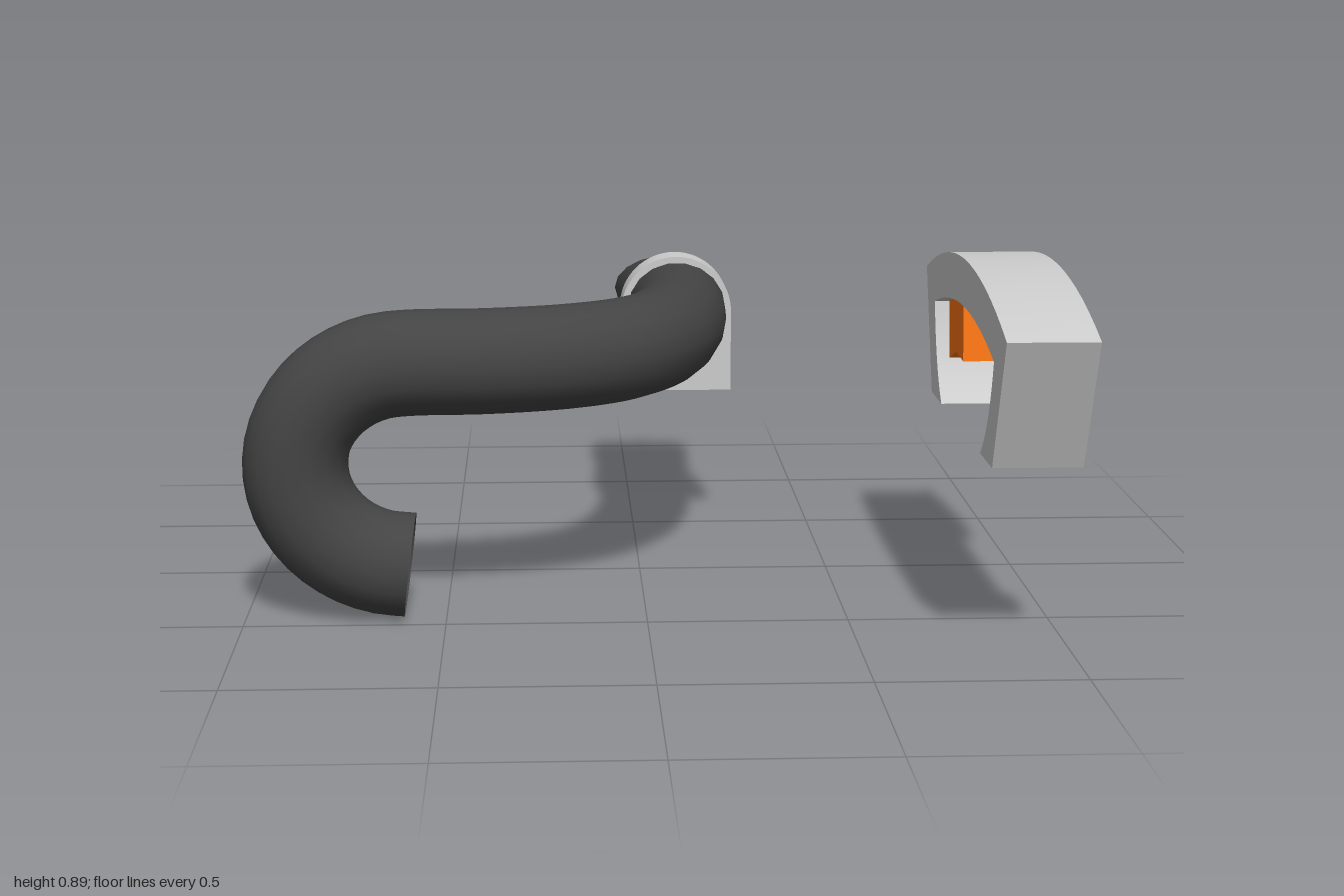
import * as THREE from 'three';
import { toCreasedNormals } from 'three/addons/utils/BufferGeometryUtils.js';

const grey = new THREE.MeshStandardMaterial({ color: 0xcccccc });
const dark = new THREE.MeshStandardMaterial({ color: 0x444444, side: THREE.DoubleSide });
const orange = new THREE.MeshStandardMaterial({ color: 0xff7614 });

function part(name, geometry, material) {
  const mesh = new THREE.Mesh(geometry, material);
  mesh.name = name;
  return mesh;
}

function extrude(shape, depth) {
  const g = new THREE.ExtrudeGeometry(shape, { depth, bevelEnabled: false, curveSegments: 16 });
  return toCreasedNormals(g, 0.5);
}

// Extrudes a profile drawn as (z, y) between two x positions
function extrudeAlongX(shape, x0, x1) {
  return extrude(shape, x1 - x0).rotateY(-Math.PI / 2).translate(x1, 0, 0);
}

// Open bent hose: hook, sweeping bend, then a straight tail flattened to an oval
function hoseGeometry() {
  const points = [];
  for (let i = 0; i <= 12; i++) {
    const a = (i / 12) * Math.PI;
    points.push(new THREE.Vector3(-0.59 - 0.28 * Math.sin(a), 0.388 - 0.257 * Math.cos(a), 0.405));
  }
  const bend = [[-0.4, 0.39], [-0.2, 0.335], [-0.05, 0.235], [0.05, 0.07], [0.103, -0.14],
    [0.12, -0.35], [0.12, -0.6], [0.12, -0.8], [0.12, -0.988]];
  for (const [x, z] of bend) points.push(new THREE.Vector3(x, 0.645, z));

  const g = new THREE.TubeGeometry(new THREE.CatmullRomCurve3(points), 80, 0.131, 18);
  const p = g.attributes.position;
  for (let i = 0; i < p.count; i++) {
    const t = (-0.33 - p.getZ(i)) / 0.658;
    if (t <= 0) continue;
    p.setX(i, 0.12 + (p.getX(i) - 0.12) * (1 + 0.19 * t));
    p.setY(i, 0.645 - 0.035 * t + (p.getY(i) - 0.645) * (1 - 0.27 * t));
  }
  return g;
}

// Round-topped mounting clamp with a hole for the hose
function clampGeometry() {
  const s = new THREE.Shape();
  s.moveTo(-0.155, 0.4);
  s.lineTo(0.155, 0.4);
  s.lineTo(0.155, 0.625);
  s.absarc(0, 0.625, 0.155, 0, Math.PI, false);
  s.closePath();
  const hole = new THREE.Path();
  hole.absellipse(0, 0.636, 0.133, 0.12, 0, Math.PI * 2, true);
  s.holes.push(hole);
  return extrude(s, 0.1).translate(0.12, 0, -0.548);
}

// Arched handle profile, symmetric about z = 0.4
function handleGeometry() {
  const s = new THREE.Shape();
  s.moveTo(-0.585, 0.79);
  s.lineTo(-0.45, 0.47);
  s.lineTo(-0.29, 0.47);
  s.quadraticCurveTo(-0.395, 0.55, -0.435, 0.718);
  s.quadraticCurveTo(0, 0.838, 0.435, 0.718);
  s.quadraticCurveTo(0.395, 0.55, 0.29, 0.47);
  s.lineTo(0.45, 0.47);
  s.lineTo(0.585, 0.79);
  s.quadraticCurveTo(0, 1.0, -0.585, 0.79);
  return extrudeAlongX(s, 0.785, 1).translate(0, 0, 0.4);
}

// Notched trigger under the handle
function triggerGeometry() {
  const s = new THREE.Shape([[0.292, 0.776], [0.308, 0.62], [0.2, 0.625], [0.097, 0.59], [0.075, 0.742]]
    .map(([z, y]) => new THREE.Vector2(z, y)));
  return extrudeAlongX(s, 0.805, 0.98);
}

export function createModel() {
  const model = new THREE.Group();
  model.name = 'hoseAndHandle';
  model.add(
    part('hose', hoseGeometry(), dark),
    part('clamp', clampGeometry(), grey),
    part('handle', handleGeometry(), grey),
    part('trigger', triggerGeometry(), orange),
  );
  return model;
}
